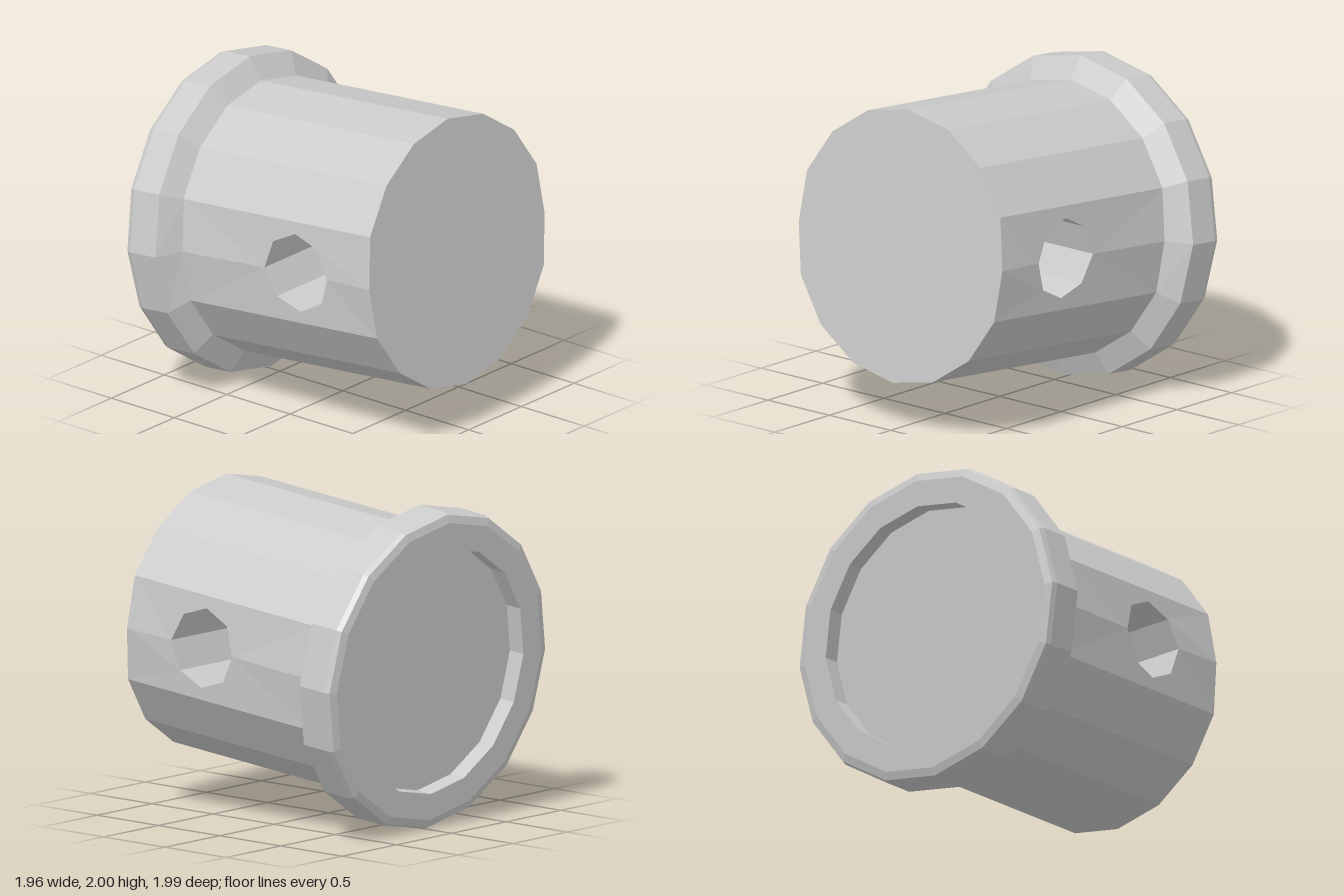
import * as THREE from 'three';

const SIDES = 16, R = 0.853, SIDE_R = 0.83, HOLE_Z = 0.815;
const STEP = (Math.PI * 2) / SIDES;
const U0 = -1.49, U1 = 0;            // body start and crown end along the axis
const PIN_U = -0.6, PIN_R = 0.25;    // cross hole
const HALF = R * Math.sin(STEP), FLAT_Z = R * Math.cos(STEP);

// depth of the slightly flattened side at height v
const sideZ = (v, ridge) => FLAT_Z + (ridge - FLAT_Z) * (1 - Math.abs(v) / HALF);

function moveVertices(geo, rule) {
  const p = geo.attributes.position, v = new THREE.Vector3();
  for (let i = 0; i < p.count; i++) {
    v.fromBufferAttribute(p, i);
    rule(v);
    p.setXYZ(i, v.x, v.y, v.z);
  }
  geo.computeVertexNormals();
  return geo;
}

// pull the body-radius vertices on the two sides inward
const flattenSides = (v) => {
  if (Math.abs(v.y) < 0.01 && Math.abs(Math.abs(v.z) - R) < 0.005) v.z = Math.sign(v.z) * SIDE_R;
};

// lathe around the x axis; profile points are [radius, position along axis]
function latheX(profile, segments = SIDES, start = 0) {
  const pts = profile.map(([r, u]) => new THREE.Vector2(r, u));
  const geo = new THREE.LatheGeometry(pts, segments, start, segments * STEP);
  return moveVertices(geo.rotateZ(-Math.PI / 2), flattenSides);
}

// half of a side panel, with half of the octagonal hole cut from its edge
function sidePanel(s) {
  const pts = [new THREE.Vector2(U0, 0)];
  for (let i = 0; i <= 4; i++) {
    const a = Math.PI - (i * Math.PI) / 4;
    pts.push(new THREE.Vector2(PIN_U + PIN_R * Math.cos(a), s * PIN_R * Math.sin(a)));
  }
  pts.push(new THREE.Vector2(U1, 0), new THREE.Vector2(U1, s * HALF), new THREE.Vector2(U0, s * HALF));
  return moveVertices(new THREE.ShapeGeometry(new THREE.Shape(pts)), (v) => {
    const inner = Math.abs(v.x - PIN_U) < PIN_R + 0.01;
    v.z = sideZ(v.y, inner ? HOLE_Z : SIDE_R);
  });
}

export function createModel() {
  const group = new THREE.Group();
  const material = new THREE.MeshStandardMaterial({ color: 0xcccccc, flatShading: true });
  const openMaterial = material.clone();
  openMaterial.side = THREE.DoubleSide;
  const add = (name, geo, mat = material) => {
    const mesh = new THREE.Mesh(geo, mat);
    mesh.name = name;
    group.add(mesh);
    return mesh;
  };

  // flange with recessed face, bevelled rim and taper down to the body
  add('flange', latheX([
    [0, -1.705], [0.77, -1.705], [0.77, -1.815], [0.935, -1.815],
    [0.985, -1.8], [0.997, -1.765], [0.997, -1.566], [R, U0],
  ]));

  // faceted body wall above and below the side panels
  for (const [name, turn] of [['lowerWall', 1], ['upperWall', 9]]) {
    add(name, latheX([[R, U0], [R, U1]], 6, turn * STEP));
  }

  // flattened side panels around the cross hole, front and back
  for (const s of [1, -1]) {
    add('frontPanel', sidePanel(s));
    add('backPanel', sidePanel(s)).rotation.x = Math.PI;
  }

  // closed end
  add('endCap', latheX([[R, U1], [0, U1]]));

  // octagonal bore through the body, trimmed to the panels
  const bore = new THREE.CylinderGeometry(PIN_R, PIN_R, 2, 8, 1, true).rotateX(Math.PI / 2);
  bore.translate(PIN_U, 0, 0);
  add('crossBore', moveVertices(bore, (v) => { v.z = Math.sign(v.z) * sideZ(v.y, HOLE_Z); }), openMaterial);

  // the whole part leans five degrees
  group.rotation.z = THREE.MathUtils.degToRad(5);
  group.position.set(0.908, 1.149, 0);
  const model = new THREE.Group();
  model.name = 'flangedPlug';
  group.name = 'tiltedPlug';
  model.add(group);
  return model;
}
